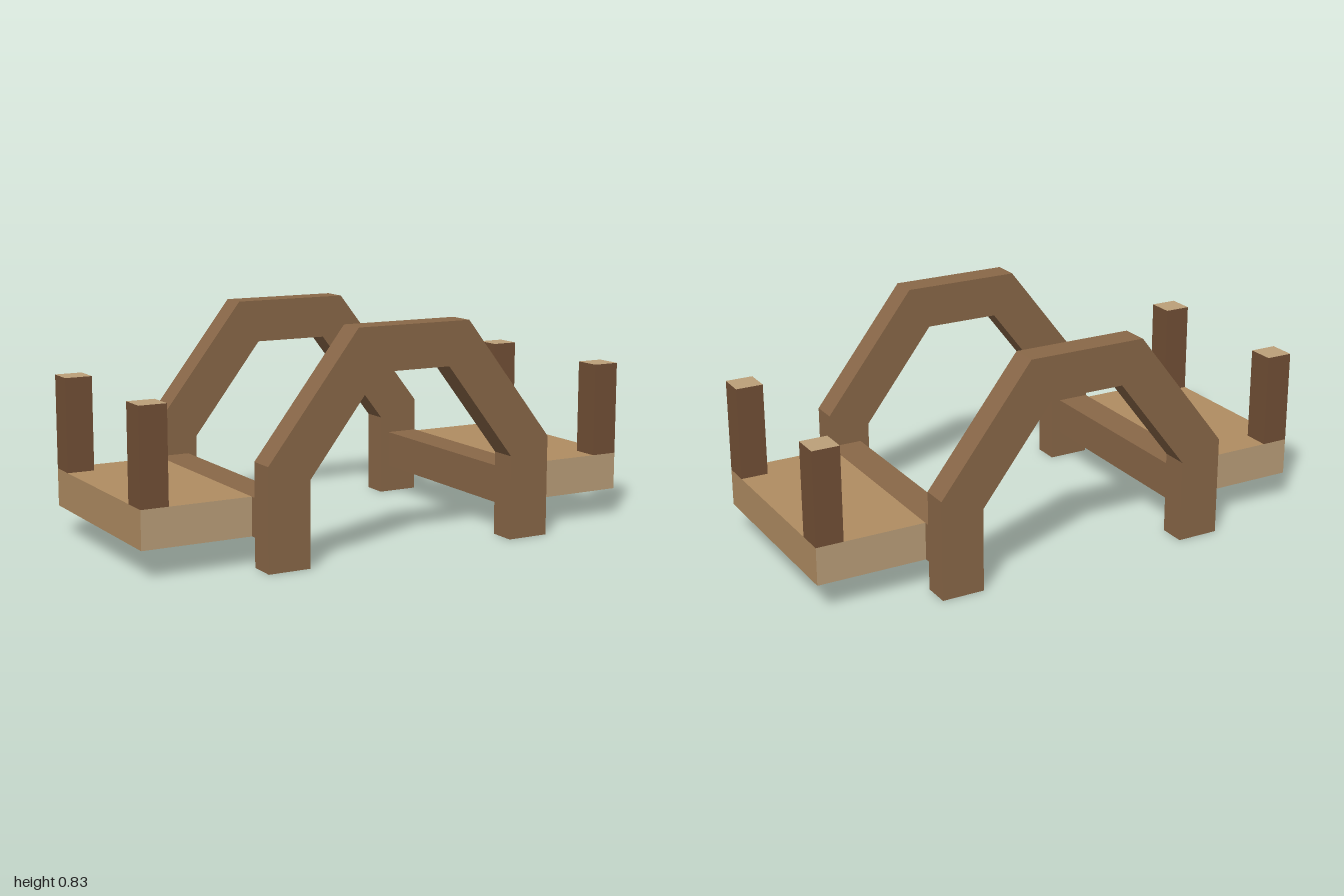
import * as THREE from 'three';

const mat = (color) => new THREE.MeshStandardMaterial({ color, flatShading: true });

export function createModel() {
  const model = new THREE.Group();
  model.name = 'bridge';
  const frameWood = mat(0x8a6848);
  const deckWood = mat(0xb08d62);
  const endGrain = mat(0xbca07a);
  const postWood = mat(0x735036);

  // Box given by its minimum and maximum corners
  function box(name, min, max, material) {
    const size = max.map((v, i) => v - min[i]);
    const mesh = new THREE.Mesh(new THREE.BoxGeometry(...size), material);
    mesh.position.set(...max.map((v, i) => (v + min[i]) / 2));
    mesh.name = name;
    model.add(mesh);
  }

  // Angular arch outline: half profile, mirrored across x
  const half = [[0.42, 0], [0.583, 0], [0.583, 0.377], [0.228, 0.832]];
  const inner = [[0.145, 0.67], [0.42, 0.315]];
  const flip = (pts) => pts.map(([x, y]) => [-x, y]).reverse();
  const outline = [...half, ...flip(half), ...flip(inner), ...inner];
  const archShape = new THREE.Shape(outline.map(([x, y]) => new THREE.Vector2(x, y)));
  const archGeo = new THREE.ExtrudeGeometry(archShape, { depth: 0.104, bevelEnabled: false });

  // Front and back arches
  for (const [name, z] of [['frontArch', 0.416], ['backArch', -0.52]]) {
    const arch = new THREE.Mesh(archGeo, frameWood);
    arch.position.z = z;
    arch.name = name;
    model.add(arch);
  }

  // Box sides in order: +x, -x, top, bottom, front, back
  const deckMats = [deckWood, deckWood, deckWood, deckWood, endGrain, endGrain];
  const postMats = [postWood, postWood, endGrain, postWood, postWood, postWood];

  for (const [side, s] of [['left', 1], ['right', -1]]) {
    const span = (a, b) => (s > 0 ? [a, b] : [-b, -a]);

    // Crossbeam joining the arches
    const [b0, b1] = span(0.456, 0.583);
    box(`${side}Crossbeam`, [b0, 0.108, -0.416], [b1, 0.25, 0.416], frameWood);

    // Landing deck
    const [d0, d1] = span(0.583, 1);
    box(`${side}Deck`, [d0, 0.108, -0.394], [d1, 0.25, 0.394], deckMats);

    // Corner posts
    const [p0, p1] = span(0.896, 1);
    box(`${side}FrontPost`, [p0, 0.25, 0.29], [p1, 0.605, 0.394], postMats);
    box(`${side}BackPost`, [p0, 0.25, -0.394], [p1, 0.605, -0.29], postMats);
  }
  return model;
}
